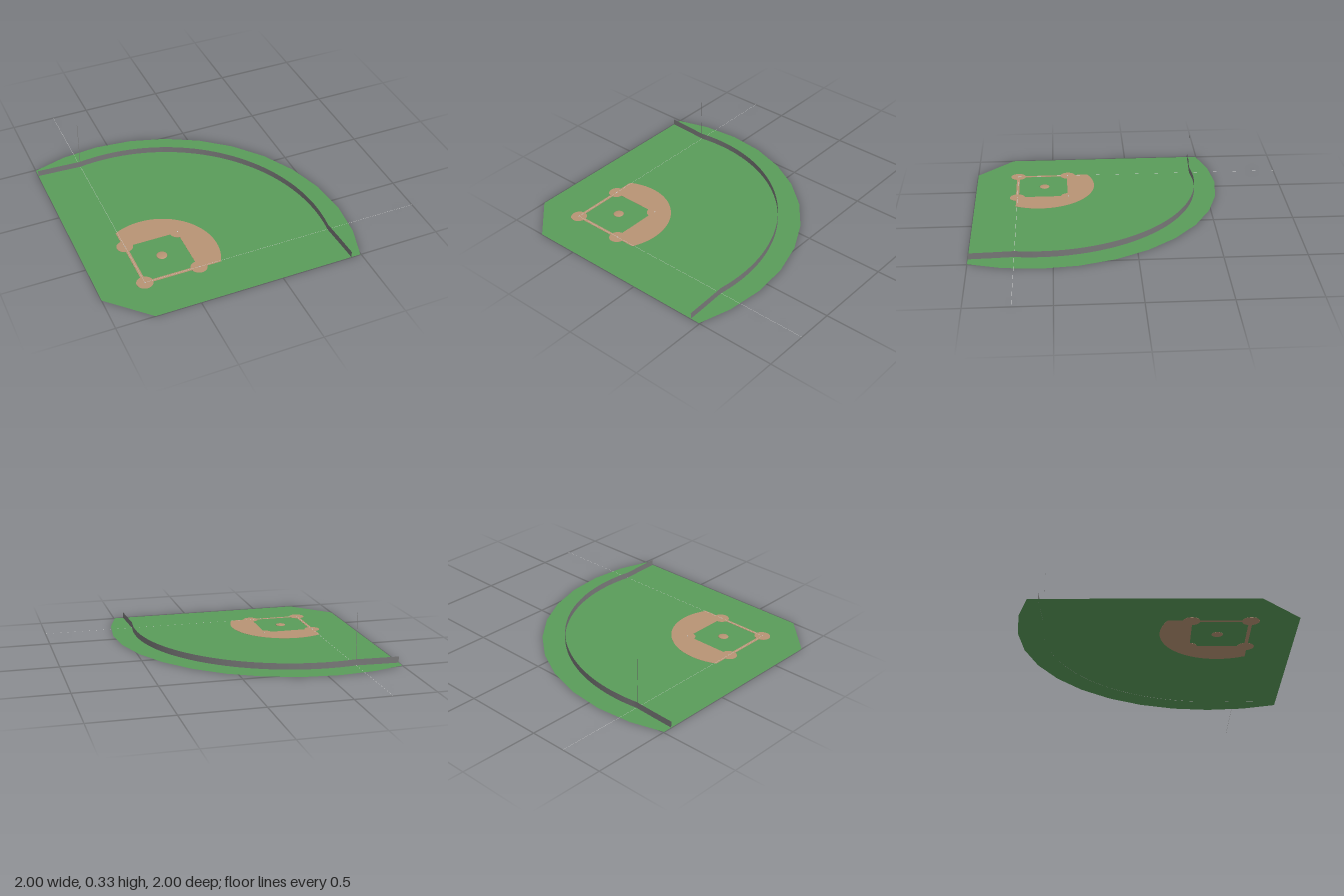
import * as THREE from 'three';

const CX = -0.575, CZ = 0.575;       // shared centre of all field arcs
const HOME = [-0.73, 0.73], FIRST = [-0.4, 0.73], SECOND = [-0.4, 0.4], THIRD = [-0.73, 0.4];
const DIRT_H = 0.002;

const material = (color) => new THREE.MeshStandardMaterial({ color, side: THREE.DoubleSide });

// Point on a field arc: angle 0 points to -z, positive turns towards +x
const arcPoint = (r, a) => [CX + r * Math.sin(a), CZ - r * Math.cos(a)];

// Plan outline given as [x, z] pairs
const planShape = (pts) => new THREE.Shape(pts.map(([x, z]) => new THREE.Vector2(x, -z)));

export function createModel() {
  const field = new THREE.Group();
  field.name = 'baseballField';
  const grass = material(0x5a9c5a), dirt = material(0xb89474), wallGrey = material(0x777777);
  const white = material(0xcccccc);

  const add = (name, geometry, mat, x = 0, y = 0, z = 0, parent = field) => {
    const mesh = new THREE.Mesh(geometry, mat);
    mesh.name = name;
    mesh.position.set(x, y, z);
    parent.add(mesh);
    return mesh;
  };

  // Grass: faceted outfield arc with the corner behind home cut off
  const outline = [[-1, 0.77], [-1, -0.495]];
  for (let i = -1; i <= 9; i++) outline.push(arcPoint(1.152, i * Math.PI / 16));
  outline.push([0.495, 1], [-0.77, 1]);
  add('grass', new THREE.ShapeGeometry(planShape(outline)).rotateX(-Math.PI / 2), grass, 0, 0.001, 0);

  // Infield dirt: arc behind the bases, base paths and circles
  const infield = new THREE.Group();
  infield.name = 'infieldDirt';
  field.add(infield);
  const band = [[-0.74, 0.405], [-0.74, 0.268]];
  const a0 = -0.495, a1 = Math.PI / 2 + 0.495;
  for (let i = 0; i <= 40; i++) band.push(arcPoint(0.348, a0 + (a1 - a0) * i / 40));
  band.push([-0.265, 0.738], [-0.405, 0.738], [-0.405, 0.405]);
  const bandGeometry = new THREE.ExtrudeGeometry(planShape(band), { depth: DIRT_H, bevelEnabled: false });
  add('dirtArc', bandGeometry.rotateX(-Math.PI / 2), dirt, 0, 0, 0, infield);
  add('thirdBasePath', new THREE.BoxGeometry(0.02, DIRT_H, 0.33), dirt, -0.73, DIRT_H / 2, 0.565, infield);
  add('firstBasePath', new THREE.BoxGeometry(0.33, DIRT_H, 0.02), dirt, -0.565, DIRT_H / 2, 0.73, infield);
  for (const [x, z] of [HOME, FIRST, SECOND, THIRD]) {
    add('baseCircle', new THREE.CylinderGeometry(0.049, 0.049, DIRT_H, 32), dirt, x, DIRT_H / 2, z, infield);
    add('base', new THREE.BoxGeometry(0.006, 0.002, 0.006), white, x, DIRT_H + 0.001, z, infield);
  }

  // Pitcher's mound: shallow dome on a dirt disc
  const dome = new THREE.SphereGeometry(0.032, 24, 6, 0, Math.PI * 2, 0, Math.PI / 2).scale(1, 0.15, 1);
  add('moundDome', dome, dirt, -0.56, DIRT_H, 0.555, infield);
  add('moundDisc', new THREE.CylinderGeometry(0.032, 0.032, DIRT_H, 24), dirt, -0.56, DIRT_H / 2, 0.555, infield);

  // Outfield wall: thin upright sheet, straight ends joined by an arc
  const path = [[-1, -0.436], [-0.86, -0.43]];
  const steps = 48, half = Math.asin(0.155 / 1.01);
  for (let i = 0; i <= steps; i++) path.push(arcPoint(1.01, -half + (Math.PI / 2 + 2 * half) * i / steps));
  path.push([0.43, 0.86], [0.436, 1]);
  const wall = new THREE.PlaneGeometry(1, 1, path.length - 1, 1);
  const pos = wall.attributes.position;
  for (let i = 0; i < pos.count; i++) {
    const [x, z] = path[i % path.length];
    pos.setXYZ(i, x, i < path.length ? 0.04 : 0, z);
  }
  wall.computeVertexNormals();
  add('outfieldWall', wall, wallGrey);

  // Foul lines running from home out past the grass
  const line = new THREE.PlaneGeometry(1.73, 0.0015).rotateX(-Math.PI / 2);
  add('rightFoulLine', line, white, 0.135, 0.0025, 0.73);
  add('leftFoulLine', line.clone().rotateY(Math.PI / 2), white, -0.73, 0.0025, -0.135);

  // Foul pole: narrow upright strip at the wall
  add('foulPole', new THREE.PlaneGeometry(0.003, 0.33), wallGrey, -0.73, 0.165, -0.42);

  return field;
}
